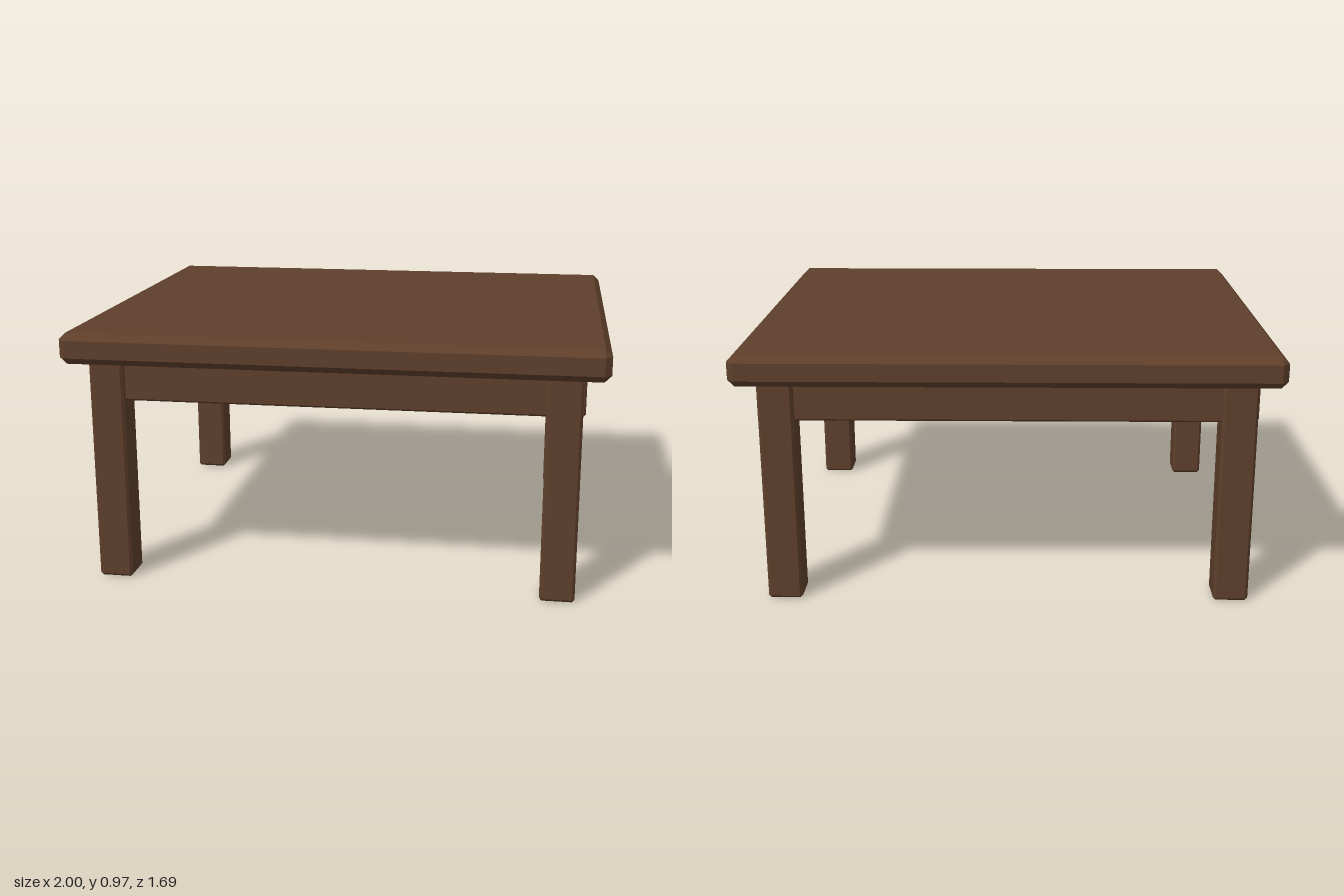
import * as THREE from 'three';
import { ConvexGeometry } from 'three/addons/geometries/ConvexGeometry.js';

const wood = new THREE.MeshStandardMaterial({ color: 0x5e3f2b });
wood.name = 'dark brown wood';

// Box with all edges chamfered by c
function chamferedBox(w, h, d, c) {
  const points = [];
  for (const sx of [-1, 1]) for (const sy of [-1, 1]) for (const sz of [-1, 1]) {
    const [x, y, z] = [w / 2, h / 2, d / 2];
    points.push(
      new THREE.Vector3(sx * x, sy * (y - c), sz * (z - c)),
      new THREE.Vector3(sx * (x - c), sy * y, sz * (z - c)),
      new THREE.Vector3(sx * (x - c), sy * (y - c), sz * z)
    );
  }
  return new ConvexGeometry(points);
}

export function createModel() {
  const table = new THREE.Group();
  table.name = 'table';

  const add = (name, geometry, x, y, z) => {
    const mesh = new THREE.Mesh(geometry, wood);
    mesh.name = name;
    mesh.position.set(x, y, z);
    table.add(mesh);
  };

  // Table top
  add('tableTop', chamferedBox(2, 0.116, 1.69, 0.025), 0, 0.91, 0);

  // Four square legs
  const leg = chamferedBox(0.13, 0.855, 0.13, 0.01);
  for (const [side, sx] of [['Left', 1], ['Right', -1]]) {
    add('front' + side + 'Leg', leg, sx * 0.845, 0.4275, 0.71);
    add('back' + side + 'Leg', leg, sx * 0.845, 0.4275, -0.71);
  }

  // Aprons: the long ones sit between the legs, the side ones lap over them
  const longApron = chamferedBox(1.7, 0.155, 0.05, 0.007);
  add('frontApron', longApron, 0, 0.779, 0.725);
  add('backApron', longApron, 0, 0.779, -0.725);
  const sideApron = chamferedBox(0.05, 0.155, 1.46, 0.007);
  add('leftApron', sideApron, 0.895, 0.779, 0);
  add('rightApron', sideApron, -0.895, 0.779, 0);

  return table;
}
